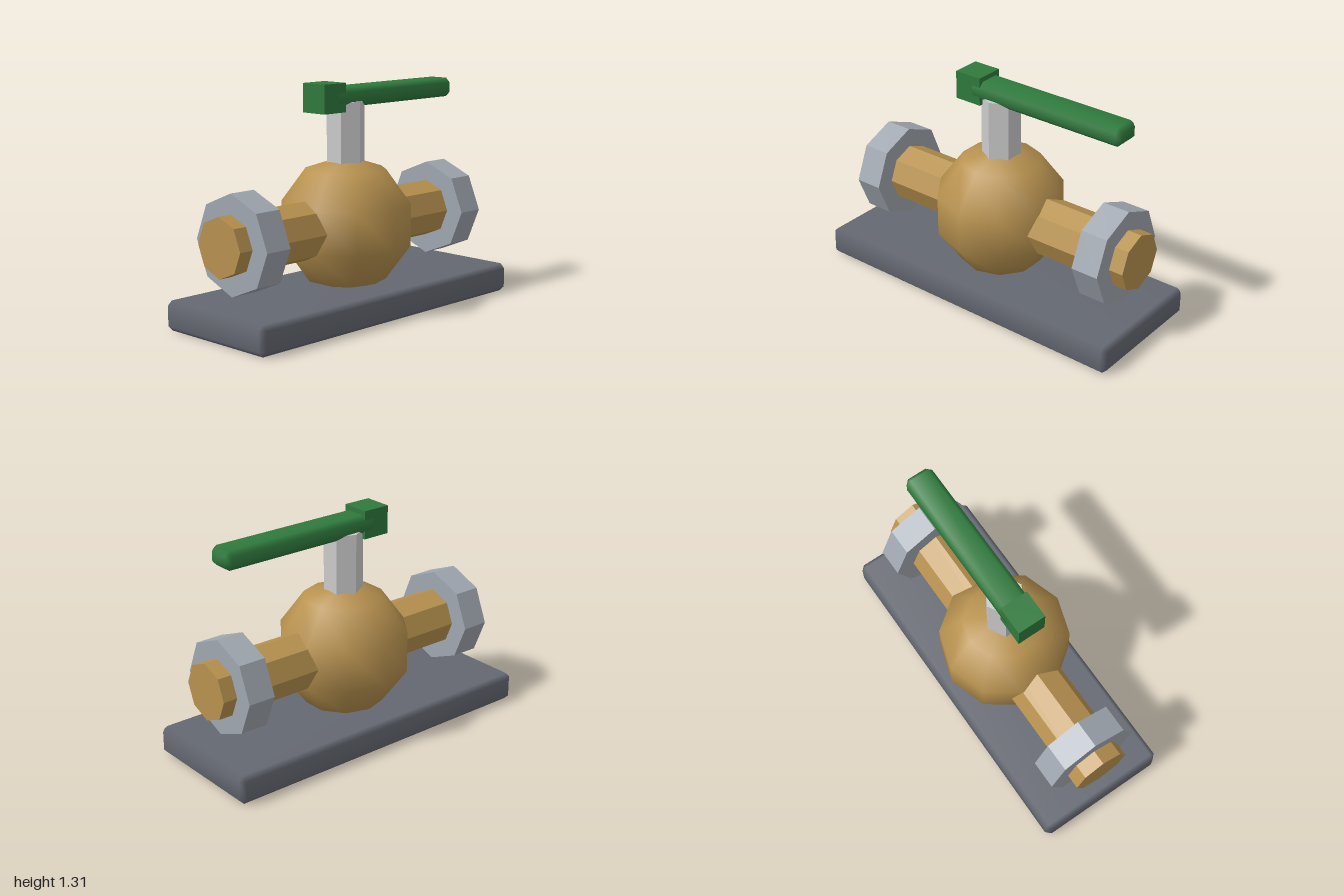
import * as THREE from 'three';
import { ConvexGeometry } from 'three/addons/geometries/ConvexGeometry.js';
import { mergeVertices } from 'three/addons/utils/BufferGeometryUtils.js';

const material = (color, flatShading) => new THREE.MeshStandardMaterial({ color, flatShading });
const brassFlat = material(0xb8924f, true);
const brassSmooth = material(0xb8924f, false);
const steel = material(0xa0a7b0, true);
const stemSteel = material(0xcccccc, true);
const slate = material(0x646871, false);
const greenSmooth = material(0x2f7a3d, false);
const greenFlat = material(0x2f7a3d, true);

// Box with single-facet bevels and soft shading
function beveledBox(w, h, d, bevel) {
  const half = [w / 2, h / 2, d / 2];
  const points = [];
  for (const sx of [-1, 1]) for (const sy of [-1, 1]) for (const sz of [-1, 1]) {
    for (let axis = 0; axis < 3; axis++) {
      const p = half.map((v, i) => (i === axis ? v : v - bevel));
      points.push(new THREE.Vector3(p[0] * sx, p[1] * sy, p[2] * sz));
    }
  }
  let geometry = new ConvexGeometry(points);
  geometry.deleteAttribute('normal');
  geometry = mergeVertices(geometry, 1e-4);
  geometry.computeVertexNormals();
  return geometry;
}

// Octagonal bar lying along x
function octagonBar(radius, length) {
  return new THREE.CylinderGeometry(radius, radius, length, 8).rotateZ(Math.PI / 2);
}

export function createModel() {
  const valve = new THREE.Group();
  valve.name = 'ballValve';

  function add(name, geometry, mat, x, y, z = 0, parent = valve) {
    const mesh = new THREE.Mesh(geometry, mat);
    mesh.name = name;
    mesh.position.set(x, y, z);
    parent.add(mesh);
    return mesh;
  }

  const axisY = 0.502;

  // Mounting plate
  add('basePlate', beveledBox(2, 0.167, 0.776, 0.028), slate, 0, 0.0835);

  // Round body, with vertices facing front and back
  add('valveBody', new THREE.SphereGeometry(0.389, 10, 5).rotateY(Math.PI / 2), brassSmooth, 0, axisY);

  // Pipe through the body, with a flange near each end
  add('pipe', octagonBar(0.166, 1.886), brassFlat, 0, axisY);
  for (const side of [-1, 1]) {
    add(side > 0 ? 'leftFlange' : 'rightFlange', octagonBar(0.277, 0.163), steel, side * 0.777, axisY);
  }

  // Hexagonal stem
  add('stem', new THREE.CylinderGeometry(0.11, 0.11, 0.42, 6), stemSteel, 0, 0.987);

  // Lever handle with its square end block
  const handle = new THREE.Group();
  handle.name = 'handle';
  valve.add(handle);
  add('lever', beveledBox(0.995, 0.11, 0.166, 0.027), greenSmooth, 0.333, 1.224, 0, handle);
  add('handleBlock', new THREE.BoxGeometry(0.166, 0.162, 0.166), greenFlat, -0.167, 1.226, 0, handle);

  return valve;
}
